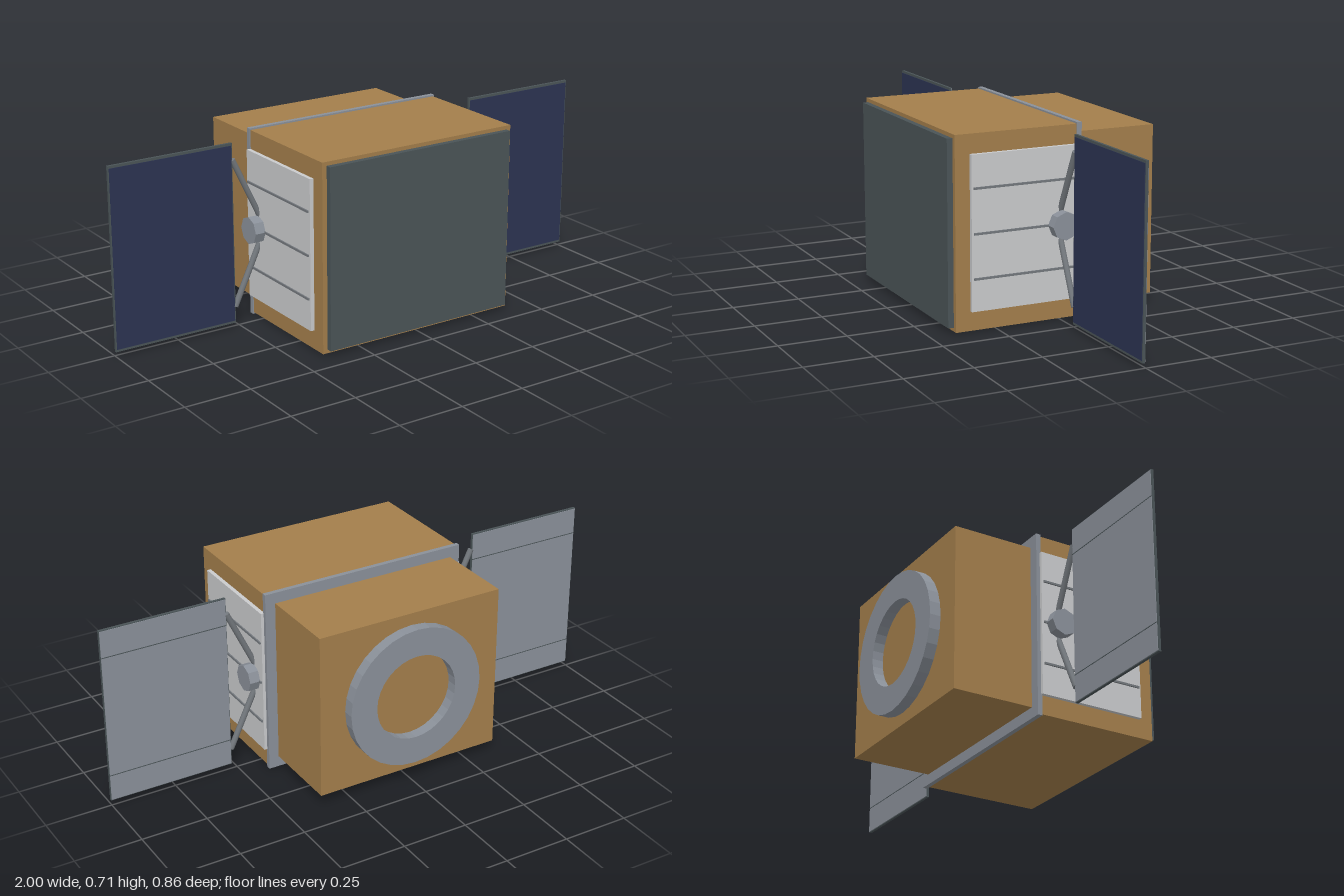
import * as THREE from 'three';

const mat = (name, color) => {
  const m = new THREE.MeshStandardMaterial({ color });
  m.name = name;
  return m;
};

export function createModel() {
  const gold = mat('gold foil', 0xa37e4b);
  const dark = mat('dark slate', 0x4a5457);
  const blue = mat('solar blue', 0x2c3452);
  const grey = mat('metal grey', 0x8a9099);
  const pale = mat('radiator white', 0xc9cacc);
  const strutGrey = mat('strut grey', 0x73787d);

  const model = new THREE.Group();
  model.name = 'satellite';
  const midY = 0.354;

  const add = (parent, name, geometry, material) => {
    const mesh = new THREE.Mesh(geometry, material);
    mesh.name = name;
    parent.add(mesh);
    return mesh;
  };
  // Box given by its minimum and maximum on each axis
  const box = (parent, name, material, [x0, x1], [y0, y1], [z0, z1]) => {
    const mesh = add(parent, name, new THREE.BoxGeometry(x1 - x0, y1 - y0, z1 - z0), material);
    mesh.position.set((x0 + x1) / 2, (y0 + y1) / 2, (z0 + z1) / 2);
    return mesh;
  };

  // Body
  box(model, 'frontBody', gold, [-0.402, 0.402], [0.006, 0.702], [-0.058, 0.407]);
  box(model, 'frontPlate', dark, [-0.384, 0.384], [0.02, 0.688], [0.407, 0.428]);
  box(model, 'middleFlange', grey, [-0.406, 0.406], [0, 0.708], [-0.076, -0.058]);
  box(model, 'rearBody', gold, [-0.367, 0.367], [0.041, 0.667], [-0.386, -0.076]);

  // Docking ring on the back
  const ringShape = new THREE.Shape().absarc(0, 0, 0.268, 0, Math.PI * 2);
  ringShape.holes.push(new THREE.Path().absarc(0, 0, 0.163, 0, Math.PI * 2, true));
  const ring = add(model, 'dockingRing', new THREE.ExtrudeGeometry(ringShape,
    { depth: 0.042, bevelEnabled: false, curveSegments: 16 }), grey);
  ring.position.set(0, midY, -0.428);

  // Radiator, hub, struts and solar wing, repeated on both sides
  for (const [side, s] of [['left', 1], ['right', -1]]) {
    const wing = new THREE.Group();
    wing.name = side + 'Wing';
    model.add(wing);
    const span = (a, b) => (s > 0 ? [a, b] : [-b, -a]);
    const wingZ = 0.008;

    box(wing, 'radiator', pale, span(0.4, 0.417), [0.077, 0.632], [-0.062, 0.352]);
    for (const y of [0.194, midY, 0.514]) {
      box(wing, 'radiatorRib', strutGrey, span(0.41, 0.422), [y - 0.004, y + 0.004], [-0.055, 0.344]);
    }

    const hub = add(wing, 'hub', new THREE.CylinderGeometry(0.051, 0.051, 0.05, 8).toNonIndexed(), grey);
    hub.geometry.computeVertexNormals();
    hub.rotation.z = Math.PI / 2;
    hub.position.set(s * 0.432, midY, wingZ);

    for (const v of [1, -1]) {
      const from = new THREE.Vector3(s * 0.392, midY + v * 0.01, wingZ);
      const to = new THREE.Vector3(s * 0.518, midY + v * 0.276, wingZ);
      const dir = to.clone().sub(from);
      const strut = add(wing, 'strut', new THREE.CylinderGeometry(0.011, 0.011, dir.length(), 8), strutGrey);
      strut.position.copy(from).add(to).multiplyScalar(0.5);
      strut.quaternion.setFromUnitVectors(new THREE.Vector3(0, 1, 0), dir.normalize());
    }

    // Dark frame with blue cells in front and a grey backing
    box(wing, 'panelFrame', dark, span(0.52, 1), [0.017, 0.692], [wingZ - 0.005, wingZ + 0.005]);
    box(wing, 'solarCells', blue, span(0.524, 0.996), [0.026, 0.683], [wingZ + 0.004, wingZ + 0.007]);
    box(wing, 'panelBacking', grey, span(0.522, 0.998), [0.02, 0.689], [wingZ - 0.007, wingZ - 0.004]);
    for (const y of [0.12, 0.588]) {
      box(wing, 'backSeam', dark, span(0.522, 0.998), [y - 0.0015, y + 0.0015], [wingZ - 0.008, wingZ - 0.006]);
    }
  }
  return model;
}
